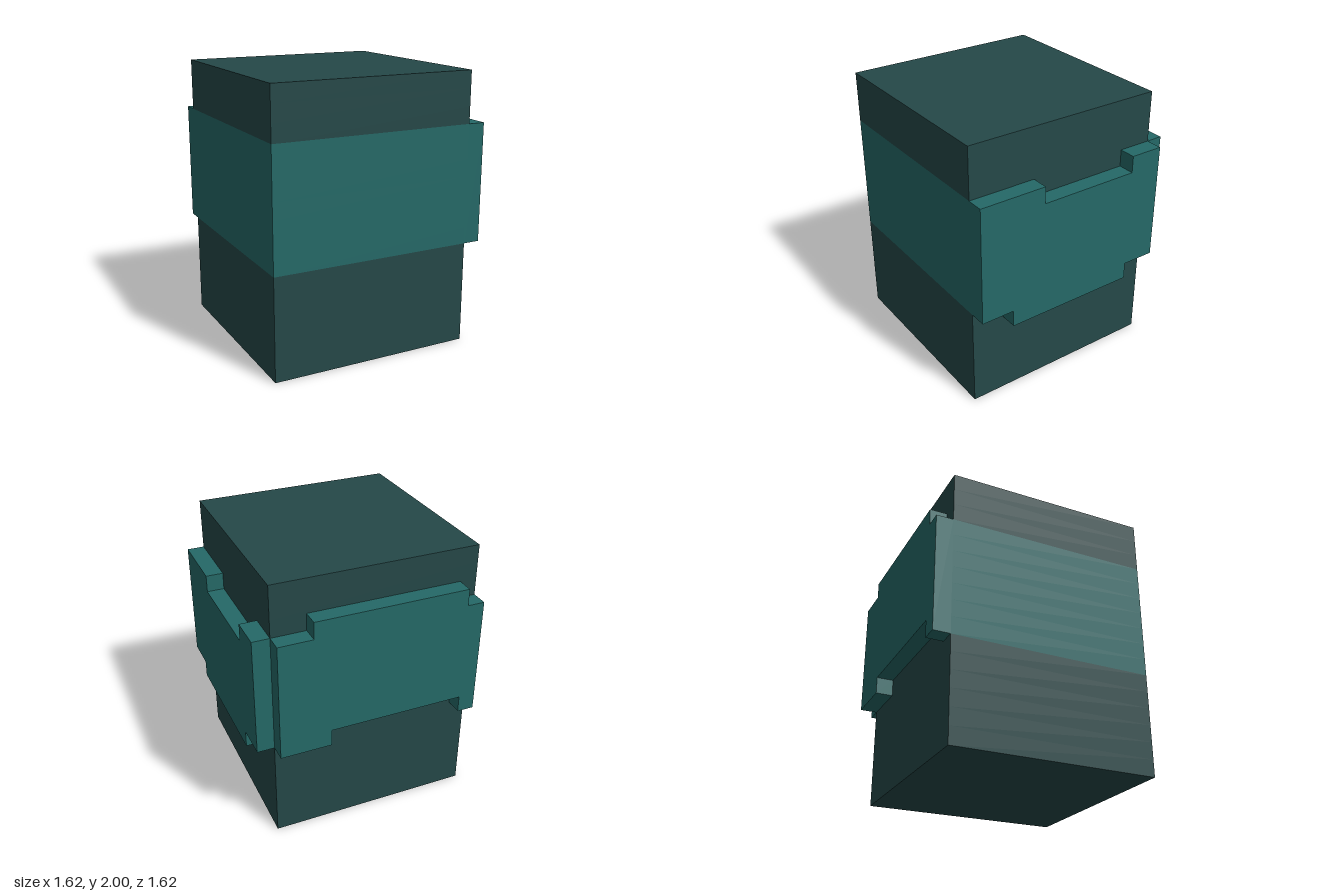
import * as THREE from 'three';

const U = 0.125; // block unit: body is 12 x 16 x 12 units

function material(name, color) {
  const m = new THREE.MeshStandardMaterial({ color });
  m.name = name;
  return m;
}

// Body block with a flush band painted on its front and right faces
function makeBody(dark, teal) {
  const rows = 16, bandTop = 3, bandEnd = 10;
  const geo = new THREE.BoxGeometry(12 * U, 16 * U, 12 * U, 1, rows, 1);
  const sides = geo.groups.map((g) => ({ ...g }));
  geo.clearGroups();
  sides.forEach((g, i) => {
    if (i === 1 || i === 4) { // -x and +z faces
      const perRow = g.count / rows;
      geo.addGroup(g.start, bandTop * perRow, 0);
      geo.addGroup(g.start + bandTop * perRow, (bandEnd - bandTop) * perRow, 1);
      geo.addGroup(g.start + bandEnd * perRow, (rows - bandEnd) * perRow, 0);
    } else {
      geo.addGroup(g.start, g.count, 0);
    }
  });
  const body = new THREE.Mesh(geo, [dark, teal]);
  body.name = 'body';
  body.position.set(-0.5 * U, 8 * U, 0.5 * U);
  return body;
}

// Raised one-unit slab with a stepped outline given in block units
function makeSlab(name, outline, mat) {
  const shape = new THREE.Shape(outline.map(([x, y]) => new THREE.Vector2(x * U, y * U)));
  const mesh = new THREE.Mesh(new THREE.ExtrudeGeometry(shape, { depth: U, bevelEnabled: false }), mat);
  mesh.name = name;
  return mesh;
}

export function createModel() {
  const model = new THREE.Group();
  model.name = 'bandedBlock';
  const dark = material('dark slate green', 0x254848);
  const teal = material('teal', 0x256967);

  model.add(makeBody(dark, teal));

  // Left slab: outline runs from front (-6.5) to back (5.5)
  const left = makeSlab('leftBandSlab', [
    [-6.5, 6], [-4.5, 6], [-4.5, 5], [3.5, 5], [3.5, 6], [5.5, 6],
    [5.5, 13], [3.5, 13], [3.5, 12], [-2.5, 12], [-2.5, 13], [-6.5, 13],
  ], teal);
  left.rotation.y = Math.PI / 2;
  left.position.x = 5.5 * U;
  model.add(left);

  // Back slab: raised top edge and a notch underneath
  const back = makeSlab('backBandSlab', [
    [-6.5, 6], [-5.5, 6], [-5.5, 7], [2.5, 7], [2.5, 6], [5.5, 6],
    [5.5, 13], [3.5, 13], [3.5, 14], [-5.5, 14], [-5.5, 13], [-6.5, 13],
  ], teal);
  back.position.z = -6.5 * U;
  model.add(back);

  return model;
}
